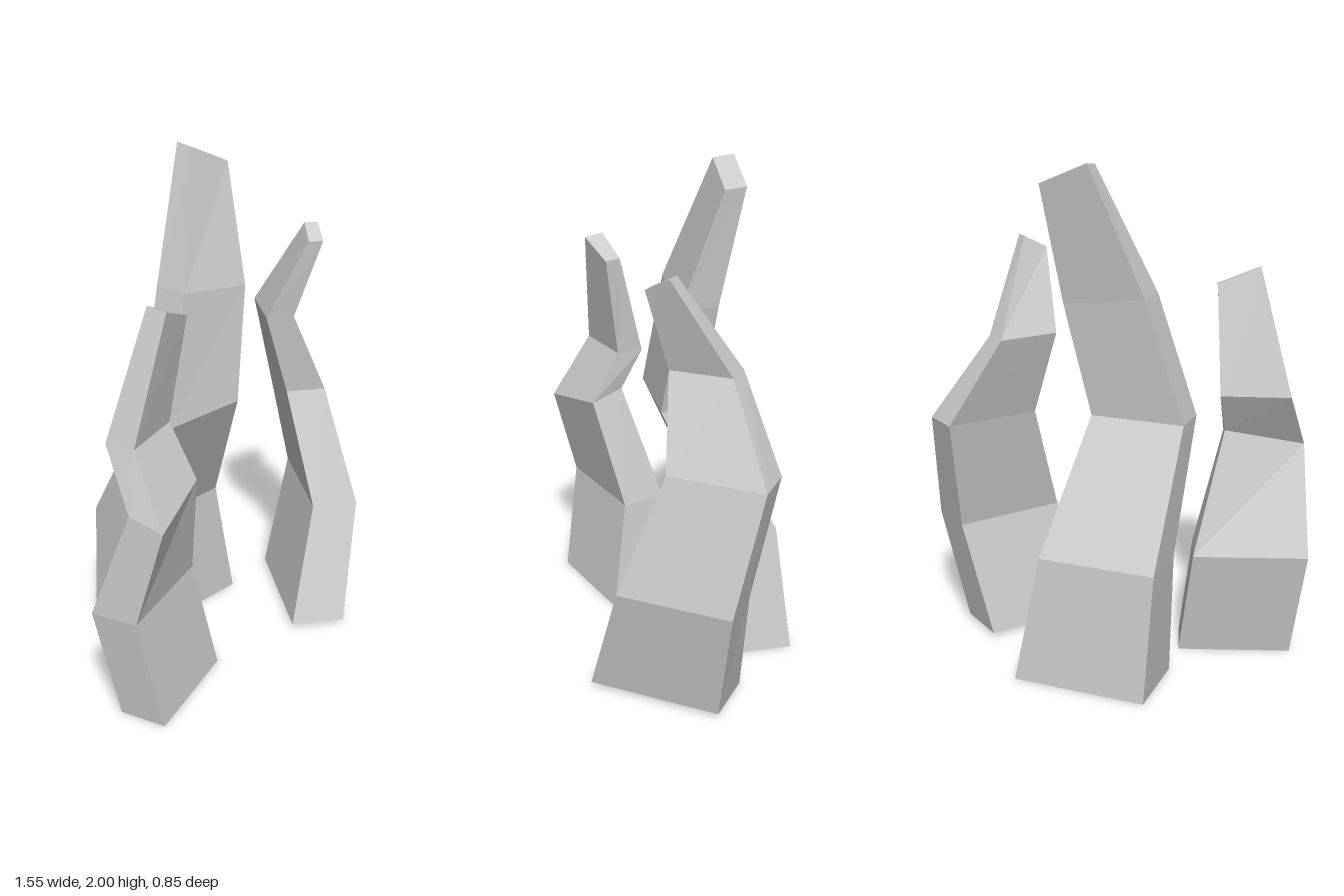
import * as THREE from 'three';

// Each section lists four corners [x, y, z]: front left, front right, back right, back left.
const level = (y, ...xz) => xz.map(([x, z]) => [x, y, z]);

const leftSpike = [
  level(0, [-0.645, 0.38], [-0.21, 0.23], [-0.27, 0.05], [-0.7, 0.2]),
  level(0.45, [-0.715, 0.315], [-0.285, 0.165], [-0.345, -0.01], [-0.775, 0.14]),
  [[-0.665, 0.84, 0.41], [-0.37, 0.9, 0.28], [-0.415, 0.94, 0.15], [-0.705, 0.88, 0.28]],
  level(1.105, [-0.645, 0.25], [-0.395, 0.165], [-0.42, 0.06], [-0.68, 0.14]),
  [[-0.505, 1.58, 0.275], [-0.35, 1.515, 0.215], [-0.37, 1.52, 0.155], [-0.525, 1.59, 0.2]],
];

const middleSpike = [
  level(0, [-0.29, -0.125], [0.25, -0.125], [0.25, -0.425], [-0.29, -0.425]),
  level(0.51, [-0.31, -0.145], [0.16, -0.145], [0.16, -0.375], [-0.31, -0.375]),
  level(1.015, [-0.32, 0.075], [0.06, 0.075], [0.06, -0.08], [-0.32, -0.08]),
  [[-0.175, 1.5, 0.02], [0.155, 1.46, 0.02], [0.155, 1.46, -0.125], [-0.175, 1.5, -0.125]],
  [[0.02, 1.99, -0.13], [0.21, 1.91, -0.13], [0.21, 1.92, -0.21], [0.02, 2, -0.21]],
];

const rightSpike = [
  level(0.02, [0.175, 0.295], [0.355, 0.42], [0.665, -0.015], [0.485, -0.145]),
  level(0.49, [0.355, 0.235], [0.51, 0.34], [0.775, -0.035], [0.62, -0.14]),
  level(0.955, [0.37, 0.06], [0.505, 0.15], [0.725, -0.165], [0.595, -0.255]),
  level(1.3, [0.26, 0.04], [0.35, 0.105], [0.485, -0.1], [0.405, -0.16]),
  [[0.355, 1.62, 0.165], [0.4, 1.62, 0.2], [0.455, 1.67, 0.125], [0.415, 1.67, 0.09]],
];

// Joins the sections with flat quads and closes both ends.
function loft(name, sections) {
  const positions = [];
  const quad = (a, b, c, d) => positions.push(...a, ...b, ...c, ...a, ...c, ...d);
  for (let s = 0; s < sections.length - 1; s++) {
    const low = sections[s], high = sections[s + 1];
    for (let i = 0; i < 4; i++) {
      const j = (i + 1) % 4;
      quad(low[i], low[j], high[j], high[i]);
    }
  }
  quad(...sections[sections.length - 1]);
  quad(...[...sections[0]].reverse());

  const geometry = new THREE.BufferGeometry();
  geometry.setAttribute('position', new THREE.Float32BufferAttribute(positions, 3));
  geometry.computeVertexNormals();
  const mesh = new THREE.Mesh(
    geometry,
    new THREE.MeshStandardMaterial({ color: 0xcccccc, flatShading: true })
  );
  mesh.name = name;
  return mesh;
}

export function createModel() {
  const group = new THREE.Group();
  group.name = 'rockSpikes';
  group.add(
    loft('shortSpike', leftSpike),
    loft('tallSpike', middleSpike),
    loft('curvedSpike', rightSpike)
  );
  return group;
}
